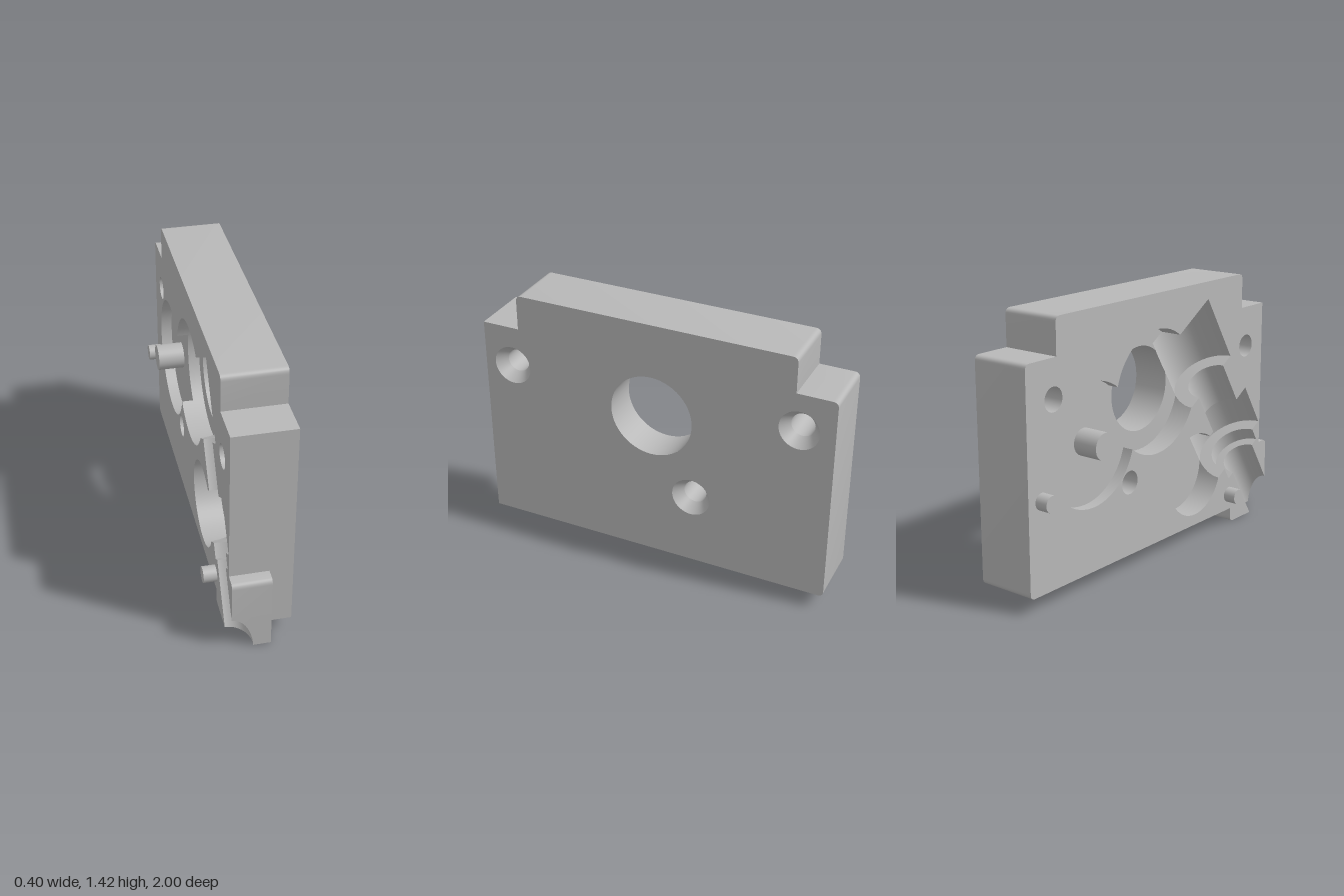
import * as THREE from 'three';
import { toCreasedNormals } from 'three/addons/utils/BufferGeometryUtils.js';

const V = (x, y, z) => new THREE.Vector3(x, y, z);
const FACE = -0.12, BACK = 0.2; // inner (-x) and outer (+x) faces of the plate
const EPS = 1e-6;

// A polygon is a list of { p, n }; a convex solid is { polys, planes }.
function split(poly, plane) {
  const front = [], back = [];
  const d = poly.map((v) => plane.distanceToPoint(v.p));
  if (d.every((k) => k > -EPS)) return [poly, null];
  if (d.every((k) => k < EPS)) return [null, poly];
  poly.forEach((a, i) => {
    const j = (i + 1) % poly.length, b = poly[j];
    if (d[i] > -EPS) front.push(a);
    if (d[i] < EPS) back.push(a);
    if ((d[i] > EPS && d[j] < -EPS) || (d[i] < -EPS && d[j] > EPS)) {
      const t = d[i] / (d[i] - d[j]);
      const m = { p: a.p.clone().lerp(b.p, t), n: a.n.clone().lerp(b.n, t).normalize() };
      front.push(m);
      back.push(m);
    }
  });
  return [front.length > 2 ? front : null, back.length > 2 ? back : null];
}

// Part of a polygon inside a convex set of planes
function inside(poly, planes) {
  for (const pl of planes) {
    poly = split(poly, pl)[1];
    if (!poly) return [];
  }
  return [poly];
}

// Parts of a polygon outside a convex set of planes
function outside(poly, planes) {
  if (!inside(poly, planes).length) return [poly];
  const out = [];
  for (const pl of planes) {
    const [f, b] = split(poly, pl);
    if (f) out.push(f);
    if (!b) break;
    poly = b;
  }
  return out;
}

const boxPlanes = (x0, x1, y0, y1, z0, z1) => [
  [1, 0, 0, -x1], [-1, 0, 0, x0], [0, 1, 0, -y1], [0, -1, 0, y0], [0, 0, 1, -z1], [0, 0, -1, z0],
].map(([a, b, c, k]) => new THREE.Plane(V(a, b, c), k));

// Round cutter from point a to point b
function cutter(a, b, ra, rb = ra, sides = 56) {
  const axis = b.clone().sub(a), len = axis.length();
  axis.normalize();
  const e1 = (Math.abs(axis.x) > 0.9 ? V(0, 1, 0) : V(1, 0, 0)).cross(axis).normalize();
  const e2 = axis.clone().cross(e1);
  const ring = (c, r) => Array.from({ length: sides }, (_, i) => {
    const t = (i / sides) * Math.PI * 2;
    const dir = e1.clone().multiplyScalar(Math.cos(t)).addScaledVector(e2, Math.sin(t));
    return { p: c.clone().addScaledVector(dir, r), n: dir.addScaledVector(axis, (ra - rb) / len).normalize() };
  });
  const A = ring(a, ra), B = ring(b, rb);
  const cap = (r, n) => r.map((v) => ({ p: v.p, n }));
  const polys = A.map((v, i) => {
    const j = (i + 1) % sides;
    return [v, A[j], B[j], B[i]];
  });
  polys.push(cap(B, axis.clone()), cap(A, axis.clone().negate()).reverse());
  const planes = polys.map((q) => new THREE.Plane().setFromCoplanarPoints(q[0].p, q[1].p, q[2].p));
  return { polys, planes };
}

// Cutter along x centred on (z, y)
const bore = (z, y, r, x0, x1, r1 = r) => cutter(V(x0, y, z), V(x1, y, z), r, r1);

// Prism from a (z, y, cornerRadius) outline, extruded along x
function prism(points, x0, x1) {
  const s = new THREE.Shape(), P = points.map(([z, y]) => new THREE.Vector2(-z, y));
  P.forEach((p, i) => {
    const r = points[i][2] || 0;
    const prev = P[(i + P.length - 1) % P.length], next = P[(i + 1) % P.length];
    const a = prev.clone().sub(p).setLength(r).add(p), b = next.clone().sub(p).setLength(r).add(p);
    if (i === 0) s.moveTo(a.x, a.y);
    else s.lineTo(a.x, a.y);
    if (r) s.quadraticCurveTo(p.x, p.y, b.x, b.y);
  });
  s.closePath();
  let g = new THREE.ExtrudeGeometry(s, { depth: x1 - x0, bevelEnabled: false, curveSegments: 6 });
  g.rotateY(Math.PI / 2).translate(x0, 0, 0);
  g = toCreasedNormals(g.index ? g.toNonIndexed() : g, 0.6);
  const pos = g.attributes.position, nor = g.attributes.normal, polys = [];
  for (let i = 0; i < pos.count; i += 3) {
    polys.push([0, 1, 2].map((k) => ({
      p: V().fromBufferAttribute(pos, i + k), n: V().fromBufferAttribute(nor, i + k),
    })));
  }
  return polys;
}

function toGeometry(polys) {
  const pos = [], nor = [];
  for (const q of polys) {
    for (let i = 1; i < q.length - 1; i++) {
      for (const v of [q[0], q[i], q[i + 1]]) {
        pos.push(v.p.x, v.p.y, v.p.z);
        nor.push(v.n.x, v.n.y, v.n.z);
      }
    }
  }
  const g = new THREE.BufferGeometry();
  g.setAttribute('position', new THREE.Float32BufferAttribute(pos, 3));
  g.setAttribute('normal', new THREE.Float32BufferAttribute(nor, 3));
  return g;
}

export function createModel() {
  const model = new THREE.Group();
  model.name = 'gearboxHalf';
  const metal = new THREE.MeshStandardMaterial({ color: 0xb8b8b8 });
  metal.name = 'grey metal';
  const add = (name, geometry) => {
    const m = new THREE.Mesh(geometry, metal);
    m.name = name;
    model.add(m);
    return m;
  };

  const cutters = [
    bore(-0.54, 0.74, 0.32, -0.3, -0.06), // shallow gear recess
    bore(-0.03, 0.905, 0.33, -0.3, 0), // counterbore
    bore(-0.03, 0.905, 0.225, -0.4, 0.4), // central through hole
    bore(0.31, 0.37, 0.23, -0.3, 0.02), // blind gear pocket
  ];
  // Countersunk screw holes
  for (const [z, y] of [[0.77, 1.01], [-0.815, 1.03], [-0.255, 0.475]]) {
    cutters.push(bore(z, y, 0.062, -0.4, 0.4));
    cutters.push(bore(z, y, 0.062, BACK - 0.06, BACK + 0.06, 0.148));
  }
  // Stepped half-round shaft seat along a slanted axis: [start, end, radius]
  const along = (t) => V(FACE, 0.867 - 0.85 * t, 0.445 + 0.526 * t);
  for (const [t0, t1, r] of [
    [-0.41, 0, 0.21], [-0.2, 0.4, 0.13], [0.26, 0.53, 0.23], [0.4, 0.61, 0.16], [0.45, 1.5, 0.112],
  ]) cutters.push(cutter(along(t0), along(t1), r));

  const carve = (polys, skip) => cutters.reduce(
    (list, c) => (c === skip ? list : list.flatMap((q) => outside(q, c.planes))), polys);

  // Outer skin of the plate and of the corner foot
  const R = 0.03;
  add('plate', toGeometry(carve(prism([
    [0.93, 0.08], [-1, 0.08, R], [-1, 1.23, R], [-0.79, 1.23],
    [-0.79, 1.42, R], [0.725, 1.42, R], [0.725, 1.23], [0.93, 1.23],
  ], FACE, BACK))));
  add('cornerFoot', toGeometry(carve(prism([
    [1, 0], [0.65, 0, R], [0.65, 0.08], [0.93, 0.08], [0.93, 0.41], [1, 0.41, R],
  ], FACE, 0.08))));

  // Walls and floors of the cuts, kept only where there is material
  const solids = [
    boxPlanes(FACE, BACK, 0.08, 1.23, -1, 0.93),
    boxPlanes(FACE, BACK, 1.23, 1.42, -0.79, 0.725),
    boxPlanes(FACE, 0.08, 0, 0.08, 0.65, 1),
    boxPlanes(FACE, 0.08, 0.08, 0.41, 0.93, 1),
  ];
  const walls = cutters.flatMap((c) => {
    const kept = c.polys.flatMap((q) => solids.flatMap((s) => inside(q, s)));
    return carve(kept, c).map((q) => q.map((v) => ({ p: v.p, n: v.n.clone().negate() })).reverse());
  });
  add('pocketWalls', toGeometry(walls));

  // Locating pins and gear post: [name, z, y, radius, tip x, root x]
  for (const [name, z, y, r, tip, root] of [
    ['gearPost', -0.54, 0.75, 0.07, -0.2, -0.05],
    ['rearPin', -0.91, 0.555, 0.043, -0.19, -0.1],
    ['frontPin', 0.63, 0.17, 0.043, -0.19, -0.1],
  ]) {
    const pin = add(name, new THREE.CylinderGeometry(r, r, root - tip, 32).rotateZ(Math.PI / 2));
    pin.position.set((tip + root) / 2, y, z);
  }
  return model;
}
